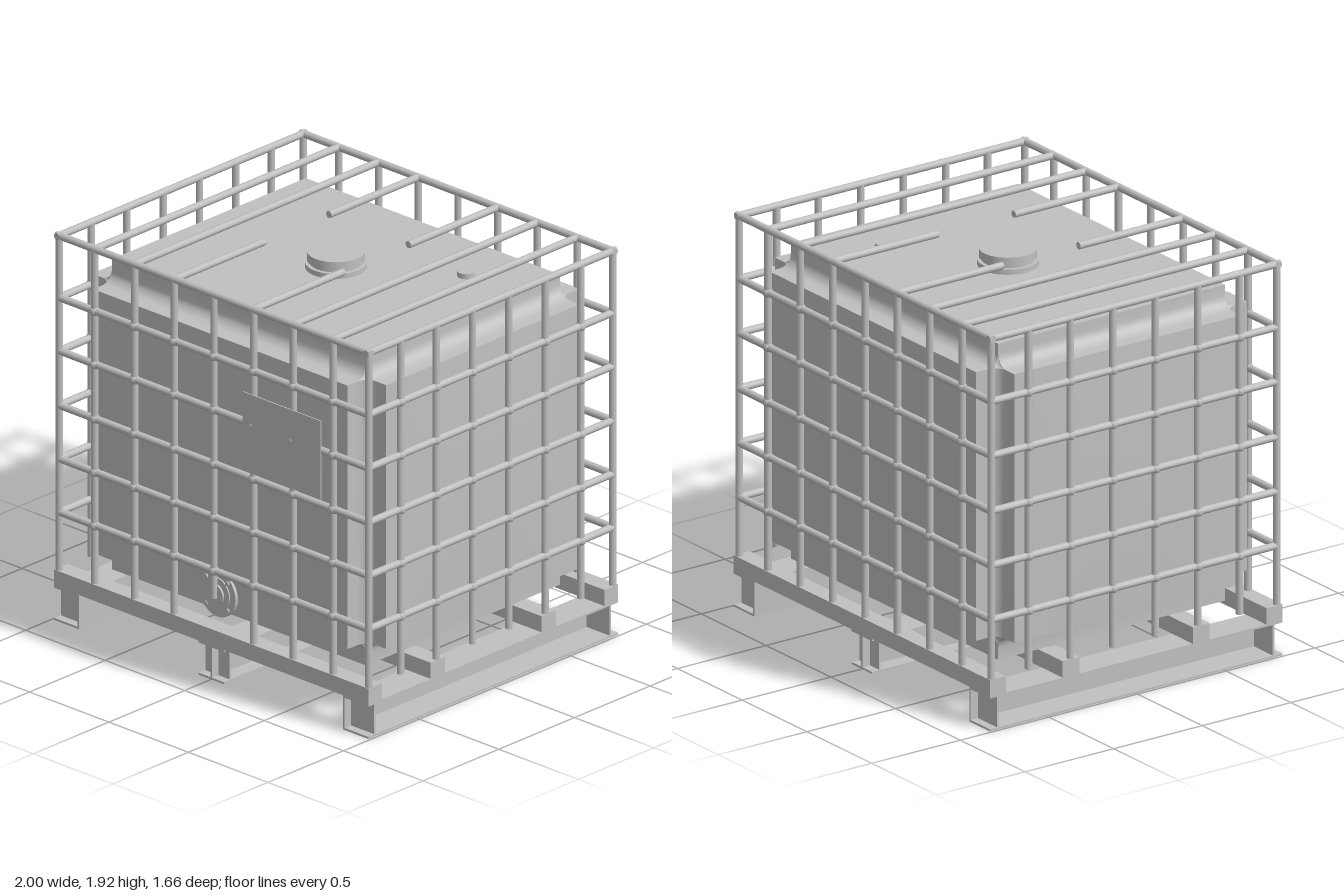
import * as THREE from 'three';
import { toCreasedNormals } from 'three/addons/utils/BufferGeometryUtils.js';

const steel = new THREE.MeshStandardMaterial({ color: 0xc0c0c0, side: THREE.DoubleSide });
steel.name = 'light grey';

function add(parent, name, geometry, x = 0, y = 0, z = 0) {
  const mesh = new THREE.Mesh(geometry, steel);
  mesh.name = name;
  mesh.position.set(x, y, z);
  parent.add(mesh);
  return mesh;
}

const box = (parent, name, w, h, d, x, y, z) => add(parent, name, new THREE.BoxGeometry(w, h, d), x, y, z);

// Round bar between two points
function bar(parent, name, a, b, r = 0.0175) {
  const from = new THREE.Vector3(...a), dir = new THREE.Vector3(...b).sub(from);
  const mesh = add(parent, name, new THREE.CylinderGeometry(r, r, dir.length(), 12));
  mesh.position.copy(from).addScaledVector(dir, 0.5);
  mesh.quaternion.setFromUnitVectors(new THREE.Vector3(0, 1, 0), dir.normalize());
  return mesh;
}

function group(parent, name) {
  const g = new THREE.Group();
  g.name = name;
  parent.add(g);
  return g;
}

const HX = 0.8, HZ = 0.64, STEP = 0.125, FILLET = 0.06, STEPS = 5;
const BOTTOM = 0.25, LOW = 0.37, HIGH = 1.68, TOP = 1.79;

// Plus-shaped plan: ext is how far the side faces stand out, o the inner corner fillet
function tankRing(y, ext, o) {
  const ring = [];
  for (const [sx, sz] of [[1, 1], [-1, 1], [-1, -1], [1, -1]]) {
    const corner = [[HX + ext, HZ]];
    for (let k = 0; k <= STEPS; k++) {
      const a = (k / STEPS) * Math.PI / 2;
      corner.push([HX + o * (1 - Math.sin(a)), HZ + o * (1 - Math.cos(a))]);
    }
    corner.push([HX, HZ + ext]);
    if (sx * sz < 0) corner.reverse();
    for (const [x, z] of corner) ring.push([x * sx, y, z * sz]);
  }
  return ring;
}

function loft(rings) {
  const pos = [];
  for (let r = 0; r < rings.length - 1; r++) {
    const lo = rings[r], hi = rings[r + 1], n = lo.length;
    for (let i = 0; i < n; i++) {
      const j = (i + 1) % n;
      pos.push(...lo[i], ...hi[i], ...lo[j], ...lo[j], ...hi[i], ...hi[j]);
    }
  }
  const g = new THREE.BufferGeometry();
  g.setAttribute('position', new THREE.Float32BufferAttribute(pos, 3));
  return toCreasedNormals(g, 0.6);
}

function buildTank(root) {
  const tank = group(root, 'tank');
  // Notched shell, open underneath
  const rings = [tankRing(BOTTOM, 0, 0)];
  for (let k = STEPS; k >= 0; k--) {
    const a = (k / STEPS) * Math.PI / 2, o = FILLET * (1 - Math.sin(a));
    rings.push(tankRing(LOW - FILLET * (1 - Math.cos(a)), o, o));
  }
  rings.push(tankRing(LOW, STEP, FILLET), tankRing(HIGH, STEP, FILLET));
  for (let k = 0; k <= STEPS; k++) {
    const a = (k / STEPS) * Math.PI / 2, o = FILLET * (1 - Math.sin(a));
    rings.push(tankRing(HIGH + FILLET * (1 - Math.cos(a)), o, o));
  }
  rings.push(tankRing(TOP, 0, 0));
  add(tank, 'tankShell', loft(rings));
  box(tank, 'tankTop', HX * 2, 0.004, HZ * 2, 0, TOP - 0.002, 0);

  // Slightly bulged wall panels
  for (let s = 0; s < 4; s++) {
    const half = s % 2 ? HZ : HX, out = (s % 2 ? HX : HZ) + STEP;
    const g = new THREE.PlaneGeometry(half * 2, HIGH - LOW, 14, 14), p = g.attributes.position;
    for (let i = 0; i < p.count; i++) {
      const u = p.getX(i) / half, v = p.getY(i) / ((HIGH - LOW) / 2);
      p.setZ(i, out + 0.001 + 0.015 * (1 - u * u) * (1 - v * v));
    }
    g.computeVertexNormals();
    add(tank, 'bulgedPanel', g, 0, (LOW + HIGH) / 2, 0).rotation.y = s * Math.PI / 2;
  }

  // Filler lid and vent cap
  const disc = (name, r, y0, y1, x, z) =>
    add(tank, name, new THREE.CylinderGeometry(r, r, y1 - y0, 40), x, (y0 + y1) / 2, z);
  disc('fillerCollar', 0.141, TOP, 1.815, 0, 0);
  disc('fillerNeck', 0.122, 1.815, 1.83, 0, 0);
  disc('fillerLid', 0.133, 1.828, 1.87, 0, 0);
  disc('ventCap', 0.041, TOP, 1.815, 0.5, -0.335);
}

function buildValve(root) {
  const valve = group(root, 'outletValve');
  valve.position.y = 0.415;
  const disc = (name, r, z0, z1, x = 0, y = 0) => {
    const m = add(valve, name, new THREE.CylinderGeometry(r, r, z1 - z0, 32), x, y, (z0 + z1) / 2);
    m.rotation.x = Math.PI / 2;
  };
  disc('valveNeck', 0.08, 0.64, 0.77);
  disc('valveFlange', 0.115, 0.765, 0.785);
  disc('valveRing', 0.082, 0.785, 0.792);
  disc('valveHub', 0.05, 0.79, 0.802);
  for (const sx of [-1, 1]) for (const sy of [-1, 1]) disc('flangeBolt', 0.011, 0.783, 0.793, sx * 0.067, sy * 0.067);
}

function buildCage(root) {
  const cage = group(root, 'cage');
  const X = 0.973, Z = 0.806, Y = 1.907, base = 0.25;
  const levels = [0.535, 0.8, 1.065, 1.335, 1.6];
  const frontXs = [-0.75, -0.5, -0.25, 0, 0.25, 0.5, 0.75];
  const sideZs = [-0.595, -0.36, -0.12, 0.12, 0.36, 0.595];
  const knot = new THREE.SphereGeometry(0.025, 10, 8);

  for (const s of [-1, 1]) {
    // Corner posts and top frame
    for (const t of [-1, 1]) bar(cage, 'cornerPost', [s * X, 0.17, t * Z], [s * X, Y, t * Z]);
    bar(cage, 'topRail', [-0.99, Y, s * Z], [0.99, Y, s * Z]);
    bar(cage, 'topRail', [s * X, Y, -0.823], [s * X, Y, 0.823]);

    // Uprights
    for (const x of frontXs) {
      const foot = x === 0 && s > 0 ? 0.4 : base;
      bar(cage, 'upright', [x, foot, s * Z], [x, Y, s * Z]);
    }
    for (const z of sideZs) bar(cage, 'upright', [s * X, base, z], [s * X, Y, z]);

    // Hoops and welded crossings
    for (const y of levels) {
      bar(cage, 'hoop', [-X, y, s * Z], [X, y, s * Z]);
      bar(cage, 'hoop', [s * X, y, -Z], [s * X, y, Z]);
      for (const x of frontXs) add(cage, 'weld', knot, x, y, s * Z);
      for (const z of sideZs) add(cage, 'weld', knot, s * X, y, z);
    }

    // Bars over the top, the inner pair stopping short of the lid
    for (const x of [0.5, 0.75]) bar(cage, 'topBar', [s * x, Y, -Z], [s * x, Y, Z]);
    for (const t of [-1, 1]) bar(cage, 'shortTopBar', [s * 0.25, Y, t * Z], [s * 0.25, Y, t * 0.215]);
  }
  box(cage, 'infoPlate', 0.49, 0.39, 0.006, 0.445, 1.295, 0.824);
}

function buildPallet(root) {
  const pallet = group(root, 'pallet');
  // Cross beams
  for (const s of [-1, 1]) {
    box(pallet, 'crossBeam', 1.98, 0.08, 0.09, 0, 0.21, s * 0.78);
    box(pallet, 'crossBeam', 1.98, 0.08, 0.095, 0, 0.21, s * 0.367);
  }
  // Channel runners, outer ones open outwards, with recessed end plates
  for (const s of [-1, 0, 1]) {
    const x = s * 0.91;
    for (const y of [0.005, 0.165]) box(pallet, 'runnerFlange', 0.16, 0.01, 1.65, x, y, 0);
    box(pallet, 'runnerWeb', 0.01, 0.15, 1.65, x - s * 0.075, 0.085, 0);
    for (const t of [-1, 1]) box(pallet, 'runnerEndPlate', 0.15, 0.15, 0.01, x, 0.085, t * 0.778);
  }
}

export function createModel() {
  const root = new THREE.Group();
  root.name = 'cagedTank';
  buildTank(root);
  buildValve(root);
  buildCage(root);
  buildPallet(root);
  return root;
}
